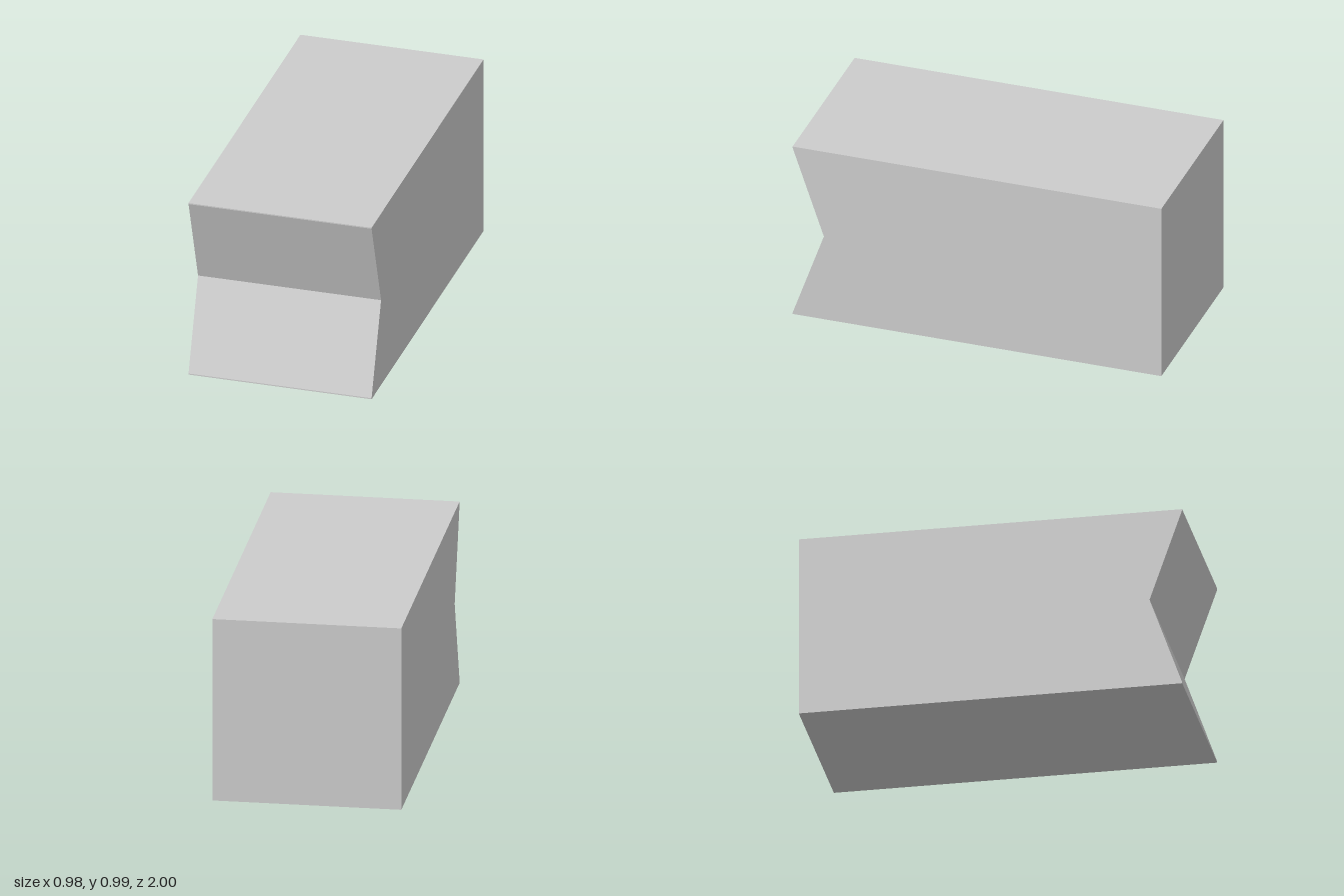
import * as THREE from 'three';

const WIDTH = 0.98, HEIGHT = 0.985, LIP = 0.006;

export function createModel() {
  const group = new THREE.Group();
  group.name = 'notchedBlock';

  // Side profile (z, y): a long block with a V notch across its front
  const profile = new THREE.Shape([
    [-1, 0], [1, 0], [1, LIP], [0.83, 0.487], [1, HEIGHT - LIP], [1, HEIGHT], [-1, HEIGHT],
  ].map(([z, y]) => new THREE.Vector2(z, y)));

  // Extruded across the width, then turned so the notch faces +z
  const geometry = new THREE.ExtrudeGeometry(profile, { depth: WIDTH, bevelEnabled: false });
  geometry.translate(0, 0, -WIDTH / 2);
  geometry.rotateY(-Math.PI / 2);

  const block = new THREE.Mesh(
    geometry,
    new THREE.MeshStandardMaterial({ color: 0xcccccc, flatShading: true }),
  );
  block.name = 'block';
  group.add(block);
  return group;
}
